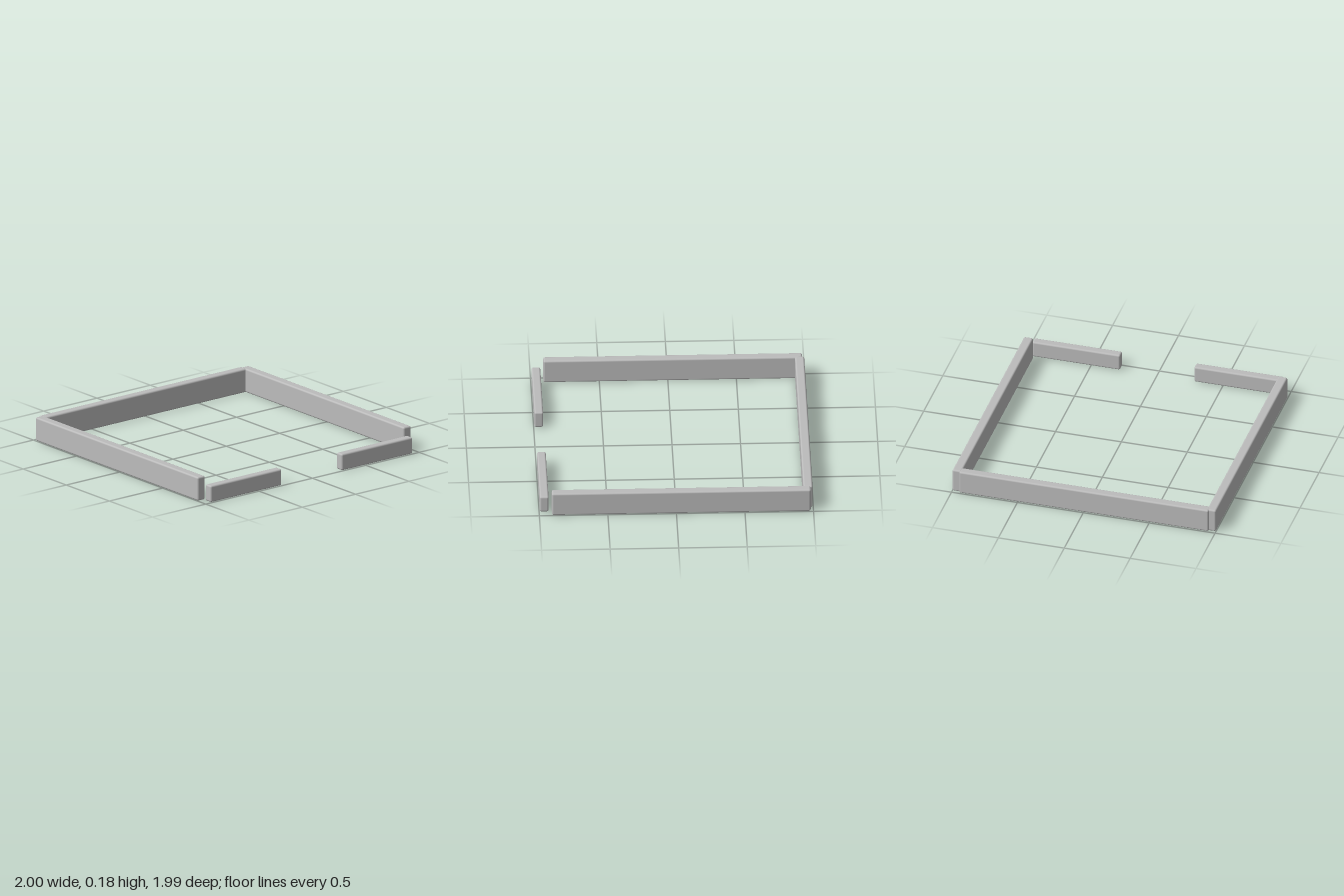
import * as THREE from 'three';
import { RoundedBoxGeometry } from 'three/addons/geometries/RoundedBoxGeometry.js';

export function createModel() {
  const group = new THREE.Group();
  const stone = new THREE.MeshStandardMaterial({ color: 0xbcbcbc });
  stone.name = 'greyStone';

  // A softly bevelled wall standing on the ground between two x and two z limits
  function wall(name, x0, x1, z0, z1, height) {
    const geometry = new RoundedBoxGeometry(x1 - x0, height, z1 - z0, 2, 0.013);
    const mesh = new THREE.Mesh(geometry, stone);
    mesh.name = name;
    mesh.position.set((x0 + x1) / 2, height / 2, (z0 + z1) / 2);
    group.add(mesh);
  }

  // Tall back and side walls
  wall('backWall', -0.948, 0.945, -0.995, -0.927, 0.18);
  wall('leftWall', 0.93, 1, -0.98, 0.908, 0.18);
  wall('rightWall', -1, -0.93, -0.98, 0.908, 0.18);

  // Low front walls with an opening between them
  wall('frontLeftWall', 0.28, 0.945, 0.93, 0.995, 0.125);
  wall('frontRightWall', -0.948, -0.282, 0.93, 0.995, 0.125);

  return group;
}
